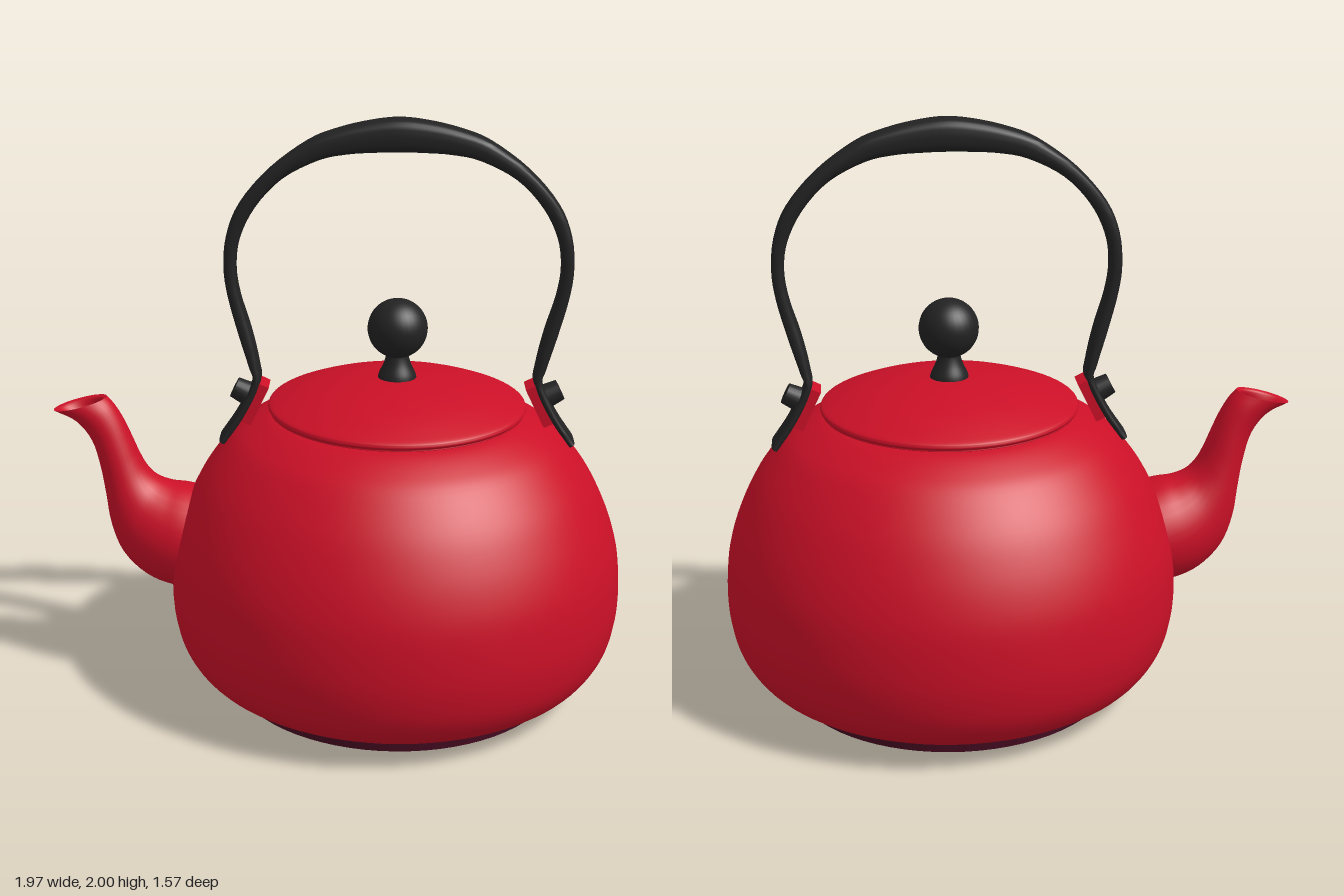
import * as THREE from 'three';
import { toCreasedNormals } from 'three/addons/utils/BufferGeometryUtils.js';

const red = new THREE.MeshStandardMaterial({ name: 'red enamel', color: 0xcb1027 });
const black = new THREE.MeshStandardMaterial({ name: 'black', color: 0x222222 });
const plum = new THREE.MeshStandardMaterial({ name: 'dark plum base', color: 0x480c22 });

function add(group, name, geometry, material, x = 0, y = 0) {
  const mesh = new THREE.Mesh(geometry, material);
  mesh.name = name;
  mesh.position.set(x, y, 0);
  group.add(mesh);
  return mesh;
}

// Smooth lathe through [radius, y] points, listed from bottom to top
function turned(points, samples, segments = 72) {
  const curve = new THREE.SplineCurve(points.map(p => new THREE.Vector2(...p)));
  const profile = curve.getPoints(samples).map(p => p.setX(Math.max(p.x, 0)));
  return new THREE.LatheGeometry(profile, segments);
}

// Skin over cross-sections [x, y of one edge, x, y of opposite edge, half depth]
function loft(sections, { power = 1, steps = 4, sides = 32, caps = false } = {}) {
  const edge = i => new THREE.CatmullRomCurve3(
    sections.map(s => new THREE.Vector3(s[i], s[i + 1], s[4])), false, 'catmullrom', 0.5);
  const lower = edge(0), upper = edge(2), n = (sections.length - 1) * steps;
  const rings = [];
  for (let i = 0; i <= n; i++) rings.push([lower.getPoint(i / n), upper.getPoint(i / n)]);
  if (caps) {
    const tip = ([a, b]) => {
      const m = a.clone().add(b).multiplyScalar(0.5).setZ(0);
      return [m, m];
    };
    rings.unshift(tip(rings[0]));
    rings.push(tip(rings[rings.length - 1]));
  }
  const round = v => Math.sign(v) * Math.abs(v) ** power;
  const pos = [], index = [];
  rings.forEach(([a, b], i) => {
    for (let k = 0; k < sides; k++) {
      const t = k / sides * Math.PI * 2, c = round(Math.cos(t)), s = round(Math.sin(t));
      pos.push((a.x + b.x + c * (b.x - a.x)) / 2, (a.y + b.y + c * (b.y - a.y)) / 2, s * a.z);
      if (i === 0) continue;
      const k2 = (k + 1) % sides, p = (i - 1) * sides, q = i * sides;
      index.push(q + k, q + k2, p + k, q + k2, p + k2, p + k);
    }
  });
  const g = new THREE.BufferGeometry();
  g.setAttribute('position', new THREE.Float32BufferAttribute(pos, 3));
  g.setIndex(index);
  g.computeVertexNormals();
  return g;
}

export function createModel() {
  const kettle = new THREE.Group();
  kettle.name = 'kettle';
  const cx = 0.2;

  // Body and foot
  add(kettle, 'body', turned([[0.55, 0.045], [0.62, 0.055], [0.70, 0.1], [0.755, 0.18], [0.78, 0.28],
    [0.785, 0.38], [0.775, 0.5], [0.75, 0.6], [0.71, 0.7], [0.655, 0.8], [0.575, 0.9],
    [0.51, 0.95], [0.43, 0.99], [0.36, 1.0]], 52, 96), red, cx);
  add(kettle, 'foot', new THREE.CylinderGeometry(0.592, 0.582, 0.055, 72), plum, cx, 0.0275);

  // Lid with knob
  add(kettle, 'lidSeat', new THREE.CylinderGeometry(0.4, 0.4, 0.03, 72), red, cx, 0.995);
  add(kettle, 'lid', turned([[0, 1.0], [0.2, 1.0], [0.41, 1.0], [0.435, 1.008], [0.441, 1.02],
    [0.42, 1.036], [0.3, 1.078], [0.15, 1.108], [0, 1.12]], 48), red, cx);
  add(kettle, 'knobNeck', turned([[0.068, 1.09], [0.064, 1.125], [0.046, 1.165], [0.038, 1.2],
    [0.045, 1.23]], 16, 32), black, cx);
  add(kettle, 'knob', new THREE.SphereGeometry(0.102, 32, 24), black, cx, 1.288);

  // Spout and its hollow mouth
  const rim = [-0.985, 0.987, -0.80, 1.035, 0.063];
  add(kettle, 'spout', loft([[-0.44, 0.33, -0.42, 0.68, 0.2], [-0.58, 0.345, -0.525, 0.71, 0.18],
    [-0.68, 0.385, -0.585, 0.72, 0.157], [-0.76, 0.465, -0.635, 0.742, 0.128],
    [-0.80, 0.57, -0.67, 0.78, 0.106], [-0.815, 0.68, -0.695, 0.83, 0.09],
    [-0.83, 0.78, -0.715, 0.88, 0.08], [-0.857, 0.88, -0.742, 0.945, 0.071],
    [-0.91, 0.95, -0.772, 1.0, 0.067], rim]), red);
  add(kettle, 'spoutMouth', loft([rim, [-0.955, 0.982, -0.815, 1.02, 0.047],
    [-0.89, 0.93, -0.785, 0.975, 0.042], [-0.84, 0.85, -0.755, 0.9, 0.035],
    [-0.80, 0.83, -0.78, 0.84, 0.004]]), red);

  // Bail handle: one half from strap end to crown, then mirrored
  const half = [[0.588, 0.885, 0.61, 0.897, 0.07], [0.525, 0.975, 0.55, 0.988, 0.064],
    [0.468, 1.09, 0.495, 1.1, 0.056], [0.47, 1.16, 0.506, 1.155, 0.051],
    [0.495, 1.28, 0.54, 1.27, 0.047], [0.53, 1.4, 0.573, 1.4, 0.045],
    [0.543, 1.5, 0.585, 1.5, 0.045], [0.528, 1.6, 0.574, 1.61, 0.045],
    [0.475, 1.705, 0.53, 1.715, 0.046], [0.385, 1.8, 0.43, 1.83, 0.049],
    [0.265, 1.862, 0.3, 1.925, 0.053], [0.17, 1.882, 0.2, 1.965, 0.056],
    [0.08, 1.888, 0.095, 1.99, 0.058]];
  const mirrored = half.map(([a, b, c, d, w]) => [-a, b, -c, d, w]).reverse();
  const bail = loft([...half, [0, 1.89, 0, 2, 0.06], ...mirrored], { power: 0.6, sides: 24, caps: true });
  add(kettle, 'handle', toCreasedNormals(bail, 0.8), black, cx);

  // Lugs and rivets joining the handle to the body
  for (const side of [1, -1]) {
    const lug = add(kettle, 'handleLug', new THREE.BoxGeometry(0.035, 0.15, 0.095), red, cx + side * 0.485, 1.025);
    lug.rotation.z = side * 0.45;
    const rivet = add(kettle, 'rivet', new THREE.CylinderGeometry(0.036, 0.043, 0.06, 20), black,
      cx + side * 0.53, 1.06);
    rivet.rotation.z = -side * 1.1;
  }
  return kettle;
}
